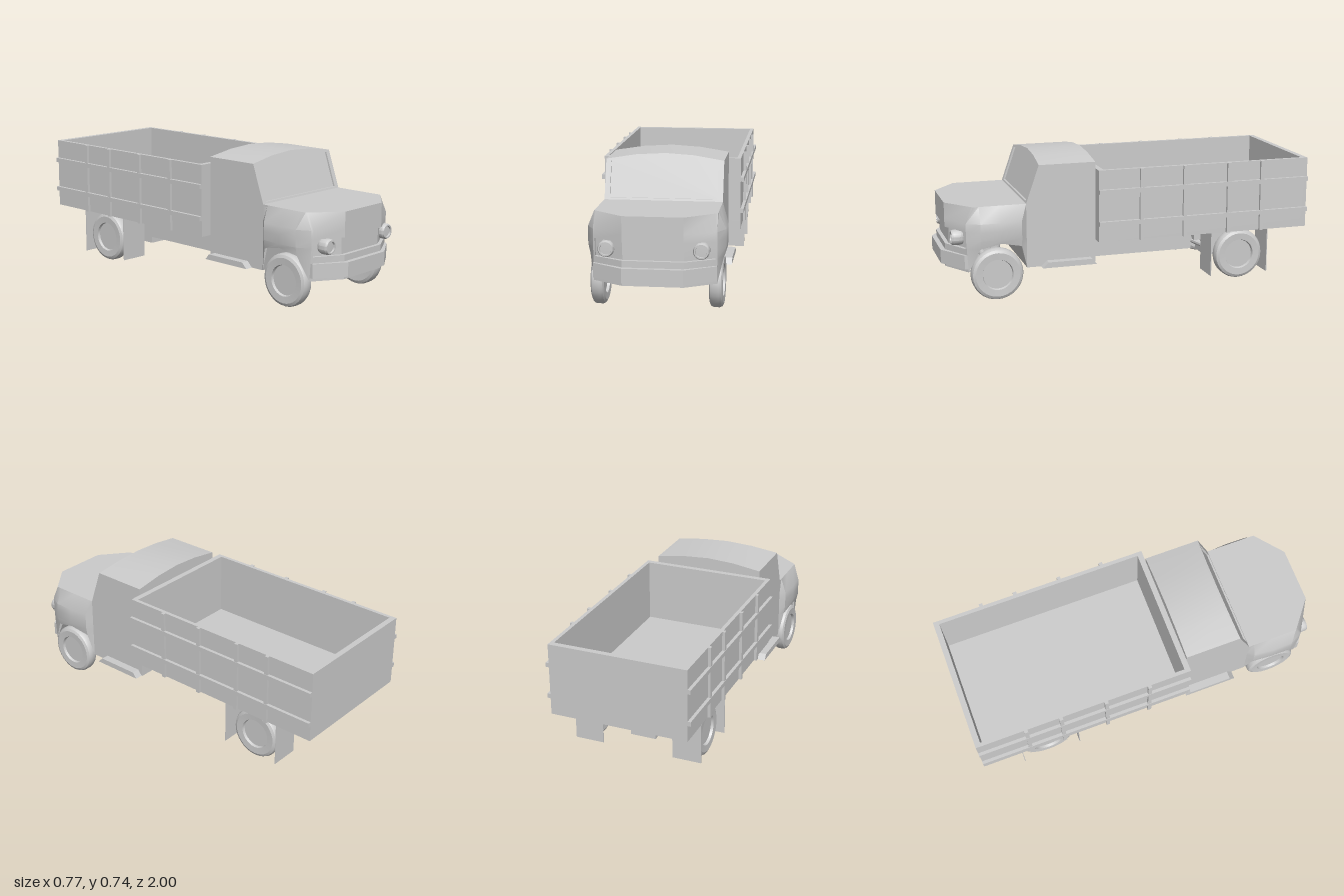
import * as THREE from 'three';
import { toCreasedNormals } from 'three/addons/utils/BufferGeometryUtils.js';

const grey = new THREE.MeshStandardMaterial({ color: 0xcccccc, side: THREE.DoubleSide });

export function createModel() {
  const truck = new THREE.Group();

  const add = (name, geometry, parent = truck) => {
    const mesh = new THREE.Mesh(toCreasedNormals(geometry, 0.5), grey);
    mesh.name = name;
    parent.add(mesh);
    return mesh;
  };

  // Box given by its limits on each axis
  const box = (name, x0, x1, y0, y1, z0, z1) => {
    const g = new THREE.BoxGeometry(x1 - x0, y1 - y0, z1 - z0);
    return add(name, g.translate((x0 + x1) / 2, (y0 + y1) / 2, (z0 + z1) / 2));
  };

  const toShape = (pts) => new THREE.Shape(pts.map(([a, b]) => new THREE.Vector2(a, b)));
  const mirrored = (half) => [...half, ...half.filter(p => p[0] > 0).reverse().map(([x, ...r]) => [-x, ...r])];

  // Plan outline [x, z] extruded from y0 to y1
  const slab = (name, pts, y0, y1) => {
    const g = new THREE.ExtrudeGeometry(toShape(pts.map(([x, z]) => [x, -z])), { depth: y1 - y0, bevelEnabled: false });
    return add(name, g.rotateX(-Math.PI / 2).translate(0, y0, 0));
  };

  // Skin over columns of points, each column running downward
  const skin = (name, columns) => {
    const rows = columns[0].length, index = [];
    for (let i = 0; i < columns.length - 1; i++) {
      for (let j = 0; j < rows - 1; j++) {
        const a = i * rows + j, b = a + rows;
        index.push(a, b, b + 1, a, b + 1, a + 1);
      }
    }
    const g = new THREE.BufferGeometry();
    g.setAttribute('position', new THREE.Float32BufferAttribute(columns.flat(2), 3));
    g.setIndex(index);
    g.computeVertexNormals();
    return add(name, g);
  };

  // Cab: lower box, upper part with crowned roof, sloping windscreen frame
  box('cabLower', -0.305, 0.305, 0.16, 0.505, 0.195, 0.57);
  const section = mirrored([[0.305, 0.505], [0.305, 0.705], [0.15, 0.729], [0, 0.738]]);
  const opening = mirrored([[0.278, 0.515], [0.278, 0.696], [0.14, 0.72], [0, 0.728]]);
  const upper = (name, shape, z0, z1) => {
    const g = new THREE.ExtrudeGeometry(shape, { depth: z1 - z0, bevelEnabled: false }).translate(0, 0, z0);
    const p = g.attributes.position;
    for (let i = 0; i < p.count; i++) {
      if (p.getZ(i) > 0.4) p.setZ(i, p.getZ(i) - 0.35 * (p.getY(i) - 0.505));
    }
    add(name, g);
  };
  upper('cabUpper', toShape(section), 0.195, 0.56);
  const frame = toShape(section);
  frame.holes.push(toShape(opening));
  upper('windscreenFrame', frame, 0.56, 0.57);

  // Nose: bulging wings with wheel arches and a recessed band across the front
  const bulge = y => y > 0.42 ? (0.505 - y) / 0.085 : y > 0.33 ? 1 : (y - 0.16) / 0.17;
  const rows = [[0.505, 0], [0.42, 0], [0.375, 0], [0.375, 1], [0.33, 1], [0.285, 1], [0.285, 0], [0.16, 0]];
  const arch = [[0.57, 0.16], [0.6, 0.285], [0.71, 0.31], [0.82, 0.285], [0.88, 0.16]];
  const swell = [0, 0.7, 1, 0.95];
  const half = swell.map((s, i) => rows.map(([y]) => {
    const yy = Math.max(y, arch[i][1]);
    return [0.305 + 0.04 * s * bulge(yy), yy, arch[i][0]];
  }));
  const cornerZ = y => 0.85 + 0.04 * bulge(y) + (y < 0.3 ? 0.03 * (1 - bulge(y)) : 0);
  for (const [t, inset] of [[0, 0], [0.06, 0], [0.06, 1], [1, 1]]) {
    half.push(rows.map(([y, r]) => [
      0.305 - 0.155 * t, y, cornerZ(y) + (0.975 - cornerZ(y)) * t - 0.02 * r * inset,
    ]));
  }
  const otherHalf = half.map(c => c.map(([x, y, z]) => [-x, y, z])).reverse();
  skin('nose', [...half, ...otherHalf]);
  slab('hoodTop', mirrored([[0.305, 0.565], [0.305, 0.85], [0.15, 0.975]]), 0.495, 0.505);
  skin('wheelArchLiner', arch.map(([z, y]) => [[-0.305, y, z], [0.305, y, z]]));
  slab('frontValance', mirrored([[0.305, 0.87], [0.15, 0.972]]), 0.16, 0.178);

  // Bumper wrapped around the nose
  slab('bumper', mirrored([[0.305, 0.87], [0.305, 0.9], [0.15, 1.0]]), 0.178, 0.252);

  // Headlights: stepped bezel with recessed lens
  const lamp = [[0.036, 0], [0.041, 0.012], [0.041, 0.05], [0.036, 0.06], [0.029, 0.06], [0.028, 0.05], [0, 0.052]]
    .map(([r, h]) => new THREE.Vector2(r, h));
  for (const s of [1, -1]) {
    add('headlight', new THREE.LatheGeometry(lamp, 14).rotateX(Math.PI / 2)).position.set(s * 0.233, 0.335, 0.897);
  }

  // Running boards with slanted ends
  for (const s of [1, -1]) {
    const profile = toShape([[-0.495, 0.16], [-0.2, 0.16], [-0.225, 0.19], [-0.465, 0.19]]);
    const g = new THREE.ExtrudeGeometry(profile, { depth: 0.045, bevelEnabled: false });
    g.rotateY(Math.PI / 2).translate(s > 0 ? 0.303 : -0.348, 0, 0);
    add('runningBoard', g);
  }

  // Cargo bed: floor and four walls
  const W = 0.37, zF = 0.195, zB = -1, T = 0.03;
  box('bedFloor', -W, W, 0.283, 0.33, zB, zF);
  box('bedFrontWall', -W, W, 0.33, 0.67, zF - T, zF);
  box('tailgate', -W, W, 0.33, 0.67, zB, zB + T);
  for (const s of [1, -1]) {
    const side = (name, a, b, ...rest) => box(name, Math.min(s * a, s * b), Math.max(s * a, s * b), ...rest);
    side('bedSideWall', W - T + 0.01, W, 0.33, 0.67, zB + T, zF - T);
    // Raised rails and stakes
    for (const y of [0.383, 0.555]) side('bedRail', W, 0.387, y - 0.012, y + 0.012, zB, zF);
    for (const z of [-0.04, -0.283, -0.535, -0.728]) side('bedStake', W, 0.385, 0.283, 0.67, z - 0.01, z + 0.01);
    // Mud flaps before and behind the rear wheel
    for (const z of [-0.45, -0.78]) side('mudFlap', 0.195, 0.353, 0.035, 0.285, z - 0.002, z + 0.002);
  }

  // Wheels: rounded tyre with a recessed disc on both faces
  const tyre = [[0, -0.018], [0.078, -0.018], [0.082, -0.032], [0.118, -0.034], [0.132, -0.027], [0.138, -0.014],
    [0.138, 0.014], [0.132, 0.027], [0.118, 0.034], [0.082, 0.032], [0.078, 0.018], [0, 0.018]]
    .map(([r, h]) => new THREE.Vector2(r, h));
  for (const [end, z] of [['front', 0.73], ['rear', -0.625]]) {
    for (const s of [1, -1]) {
      add(end + 'Wheel', new THREE.LatheGeometry(tyre, 32).rotateZ(Math.PI / 2)).position.set(s * 0.295, 0.14, z);
    }
    add(end + 'Axle', new THREE.CylinderGeometry(0.018, 0.018, 0.56, 12).rotateZ(Math.PI / 2)).position.set(0, 0.138, z);
  }

  // Chassis box, drive shaft and differential
  box('chassisBox', -0.22, 0.22, 0.165, 0.285, -0.38, 0.195);
  const shaft = new THREE.LineCurve3(new THREE.Vector3(0, 0.205, -0.36), new THREE.Vector3(0, 0.12, -0.53));
  add('driveShaft', new THREE.TubeGeometry(shaft, 1, 0.017, 10));
  box('differential', -0.07, 0.07, 0.075, 0.2, -0.71, -0.52);
  box('differentialMount', -0.05, 0.05, 0.16, 0.215, -0.53, -0.465);

  return truck;
}
